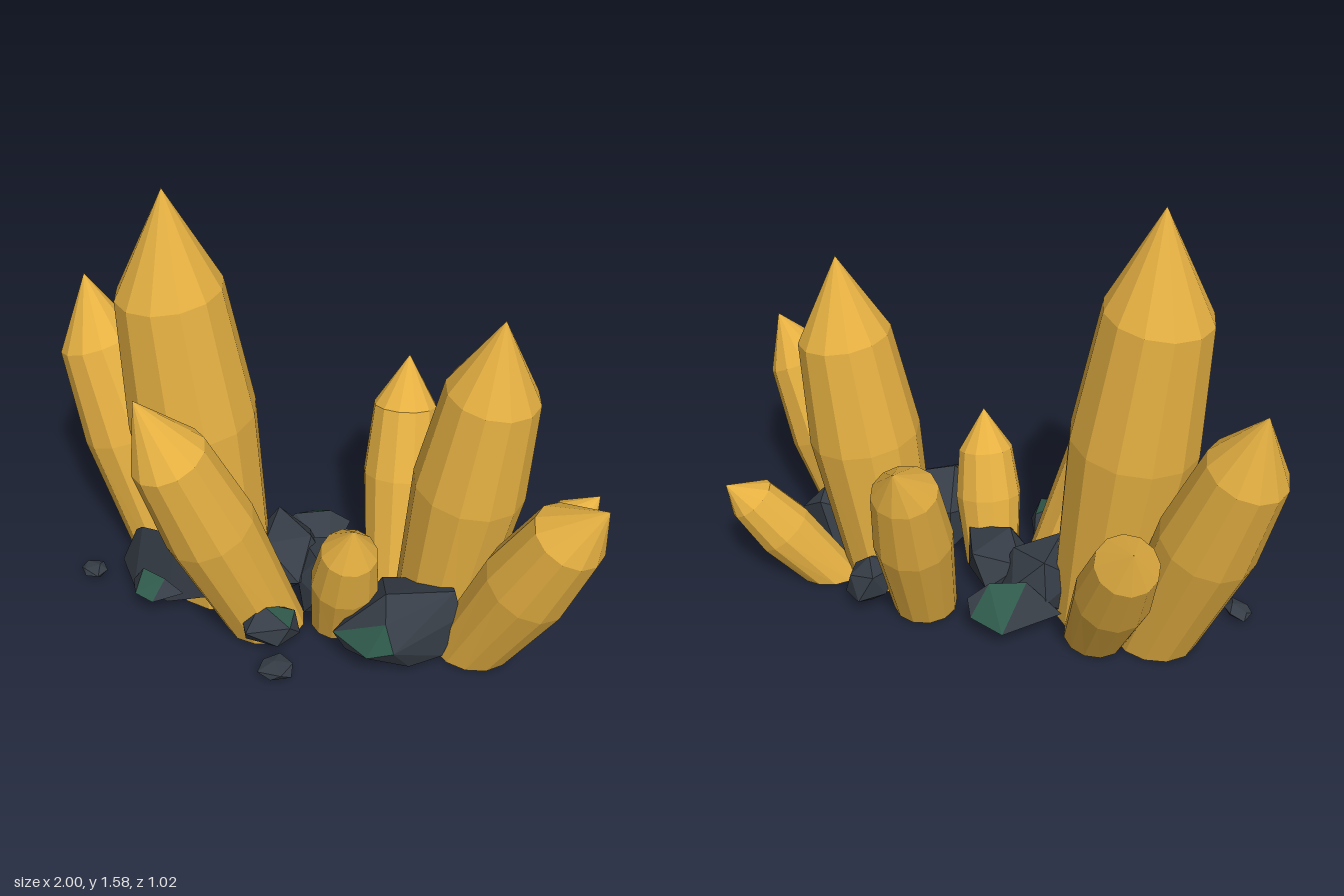
import * as THREE from 'three';
import { ConvexGeometry } from 'three/addons/geometries/ConvexGeometry.js';

const SIDES = 12;

// Leaning crystal, open underneath: flat foot ring, widest ring, shoulder ring, pointed tip
function crystalGeometry(base, shoulder, tip, r) {
  const b = new THREE.Vector3(...base);
  const s = new THREE.Vector3(...shoulder);
  const t = new THREE.Vector3(...tip);
  const axis = s.clone().sub(b).normalize();
  const u = axis.clone().cross(new THREE.Vector3(0, 0, 1)).normalize();
  const v = u.clone().cross(axis).normalize();
  const ring = (center, radius, onGround) => {
    const points = [];
    for (let i = 0; i < SIDES; i++) {
      const a = (i / SIDES) * Math.PI * 2;
      const p = center.clone()
        .addScaledVector(u, Math.cos(a) * radius)
        .addScaledVector(v, Math.sin(a) * radius);
      if (onGround) p.addScaledVector(axis, -p.y / axis.y);
      points.push(p);
    }
    return points;
  };
  const rings = [
    ring(b, r * 0.82, true),
    ring(b.clone().lerp(s, 0.6), r * 1.01, false),
    ring(s, r * 0.83, false),
  ];
  // Winding is checked against the middle so that every face looks outwards
  const inside = b.clone().lerp(s, 0.5);
  const out = [];
  const tri = (p, q, w) => {
    const n = q.clone().sub(p).cross(w.clone().sub(p));
    const flip = n.dot(p.clone().sub(inside)) < 0;
    for (const c of flip ? [p, w, q] : [p, q, w]) out.push(c.x, c.y, c.z);
  };
  for (let i = 0; i < SIDES; i++) {
    const j = (i + 1) % SIDES;
    for (let k = 0; k < 2; k++) {
      tri(rings[k][i], rings[k][j], rings[k + 1][j]);
      tri(rings[k][i], rings[k + 1][j], rings[k + 1][i]);
    }
    tri(rings[2][i], rings[2][j], t);
  }
  const g = new THREE.BufferGeometry();
  g.setAttribute('position', new THREE.Float32BufferAttribute(out, 3));
  g.computeVertexNormals();
  return g;
}

// Corner points of a chipped lump that fills the given extents
function lump(min, max, seed) {
  const g = new THREE.IcosahedronGeometry(1, 0);
  g.rotateZ(seed * 1.3).rotateY(seed * 2.1);
  const pos = g.attributes.position;
  const points = [];
  for (let i = 0; i < pos.count; i++) {
    const p = new THREE.Vector3().fromBufferAttribute(pos, i);
    const wobble = Math.sin(p.x * 5.1 + p.y * 7.7 + p.z * 6.3 + seed * 4.7);
    points.push(p.multiplyScalar(0.9 + 0.2 * wobble));
  }
  const box = new THREE.Box3().setFromPoints(points);
  const size = box.getSize(new THREE.Vector3());
  return points.map((p) => p.sub(box.min).divide(size).toArray()
    .map((f, k) => min[k] + f * (max[k] - min[k])));
}

// Angular rock around its corners; faces looking along mossDir use the second material
function rockGeometry(corners, mossDir) {
  const g = new ConvexGeometry(corners.map((c) => new THREE.Vector3(...c)));
  const normal = g.attributes.normal;
  const n = new THREE.Vector3();
  const facing = [];
  for (let i = 0; i < normal.count; i += 3) {
    n.fromBufferAttribute(normal, i);
    facing.push(mossDir ? n.dot(new THREE.Vector3(...mossDir).normalize()) : 0);
  }
  const limit = mossDir ? Math.max(...facing) - 0.07 : 1;
  facing.forEach((f, i) => g.addGroup(i * 3, 3, f >= limit ? 1 : 0));
  return g;
}

export function createModel() {
  const model = new THREE.Group();
  model.name = 'crystalCluster';

  const material = (name, color) => {
    const m = new THREE.MeshStandardMaterial({ color });
    m.name = name;
    return m;
  };
  const amber = material('amber', 0xe5b042);
  amber.side = THREE.DoubleSide; // the crystals are open underneath
  const slate = material('slate', 0x363d46);
  const moss = material('mossGreen', 0x2f5a4b);

  const add = (name, geometry, mat) => {
    const mesh = new THREE.Mesh(geometry, mat);
    mesh.name = name;
    model.add(mesh);
  };
  const addRock = (name, corners, mossDir) => add(name, rockGeometry(corners, mossDir), [slate, moss]);

  // Crystals: name, foot centre, shoulder centre, tip, widest radius
  const crystals = [
    ['tallCrystal', [-0.36, 0, 0.02], [-0.505, 1.21, 0.02], [-0.51, 1.575, 0.02], 0.222],
    ['outerRightCrystal', [-0.58, 0, -0.08], [-0.865, 0.83, -0.195], [-0.92, 1.065, -0.245], 0.17],
    ['frontRightCrystal', [-0.15, 0, 0.2], [-0.41, 0.805, 0.38], [-0.51, 1.015, 0.395], 0.16],
    ['backRightCrystal', [-0.38, 0, -0.15], [-0.55, 0.54, -0.415], [-0.59, 0.65, -0.5], 0.13],
    ['backCrystal', [0.24, 0, -0.18], [0.22, 0.615, -0.375], [0.21, 0.755, -0.485], 0.137],
    ['smallFrontCrystal', [0.1, 0, 0.14], [0.165, 0.415, 0.25], [0.19, 0.55, 0.3], 0.118],
    ['secondTallCrystal', [0.43, 0, -0.02], [0.575, 0.955, -0.02], [0.6, 1.24, -0.005], 0.194],
    ['frontLeftCrystal', [0.585, 0, 0.15], [0.885, 0.645, 0.265], [1.0, 0.795, 0.305], 0.155],
    ['backLeftCrystal', [0.64, 0, -0.125], [0.88, 0.335, -0.225], [0.95, 0.41, -0.275], 0.106],
  ];
  for (const [name, base, shoulder, tip, r] of crystals) {
    add(name, crystalGeometry(base, shoulder, tip, r), amber);
  }

  // Larger rocks, given by their corners and the direction of their mossy faces
  addRock('rightRock', [
    [-0.72, 0.08, 0.1], [-0.65, 0.25, 0.12], [-0.61, 0.3, 0.16], [-0.46, 0.35, 0.23],
    [-0.42, 0.33, 0.24], [-0.32, 0.09, 0.22], [-0.5, 0.05, 0.25], [-0.64, 0.06, 0.21],
    [-0.6, 0.05, 0], [-0.4, 0.05, 0],
  ]);
  addRock('rightMossyRock', [
    [-0.64, 0.09, 0.21], [-0.59, 0.17, 0.23], [-0.5, 0.165, 0.26], [-0.43, 0.12, 0.27],
    [-0.53, 0.1, 0.32], [-0.6, 0.11, 0.3], [-0.56, 0.06, 0.26],
  ], [-0.1, 0.75, 0.65]);
  addRock('frontRock', [
    [0.13, 0.13, 0.34], [0.18, 0.08, 0.36], [0.27, 0.12, 0.43], [0.4, 0.03, 0.34],
    [0.5, 0.03, 0.26], [0.55, 0.17, 0.2], [0.52, 0.26, 0.18], [0.3, 0.285, 0.28],
    [0.32, 0.23, 0.37], [0.36, 0.15, 0.42], [0.25, 0.2, 0.1], [0.25, 0.04, 0.1], [0.48, 0.2, 0.05],
  ], [-0.35, 0.35, 0.87]);
  addRock('backRock', [
    [-0.26, 0.06, -0.15], [-0.11, 0.08, -0.35], [0.02, 0.09, -0.31], [0.05, 0.13, -0.26],
    [-0.02, 0.19, -0.23], [-0.14, 0.19, -0.18], [0.01, 0.05, -0.1], [-0.1, 0.01, -0.25],
  ], [-0.1, 0.8, -0.6]);
  addRock('leftRock', [
    [0.83, 0.06, 0.01], [0.78, 0.17, 0.05], [0.78, 0.195, -0.03], [0.7, 0.285, 0],
    [0.69, 0.26, -0.07], [0.7, 0.26, 0.05], [0.68, 0.04, 0.18], [0.78, 0.02, 0.06],
    [0.62, 0.02, -0.08], [0.58, 0.2, 0],
  ], [0.92, 0.37, 0.12]);

  // Smaller lumps and pebbles
  addRock('smallFrontRock', lump([-0.2, 0.01, 0.22], [0.01, 0.19, 0.43], 3), [0.3, 1, 0]);
  addRock('centreRock', lump([-0.28, 0, -0.17], [0.02, 0.25, 0.12], 4));
  addRock('innerRock', lump([-0.1, 0, -0.14], [0.17, 0.21, 0.19], 5));
  addRock('smallBackRock', lump([0.34, 0.02, -0.34], [0.51, 0.18, -0.12], 7));
  addRock('rightPebble', lump([-0.88, 0, 0.07], [-0.78, 0.05, 0.17], 9));
  addRock('frontPebble', lump([-0.1, 0, 0.39], [0.02, 0.05, 0.51], 10));

  return model;
}
